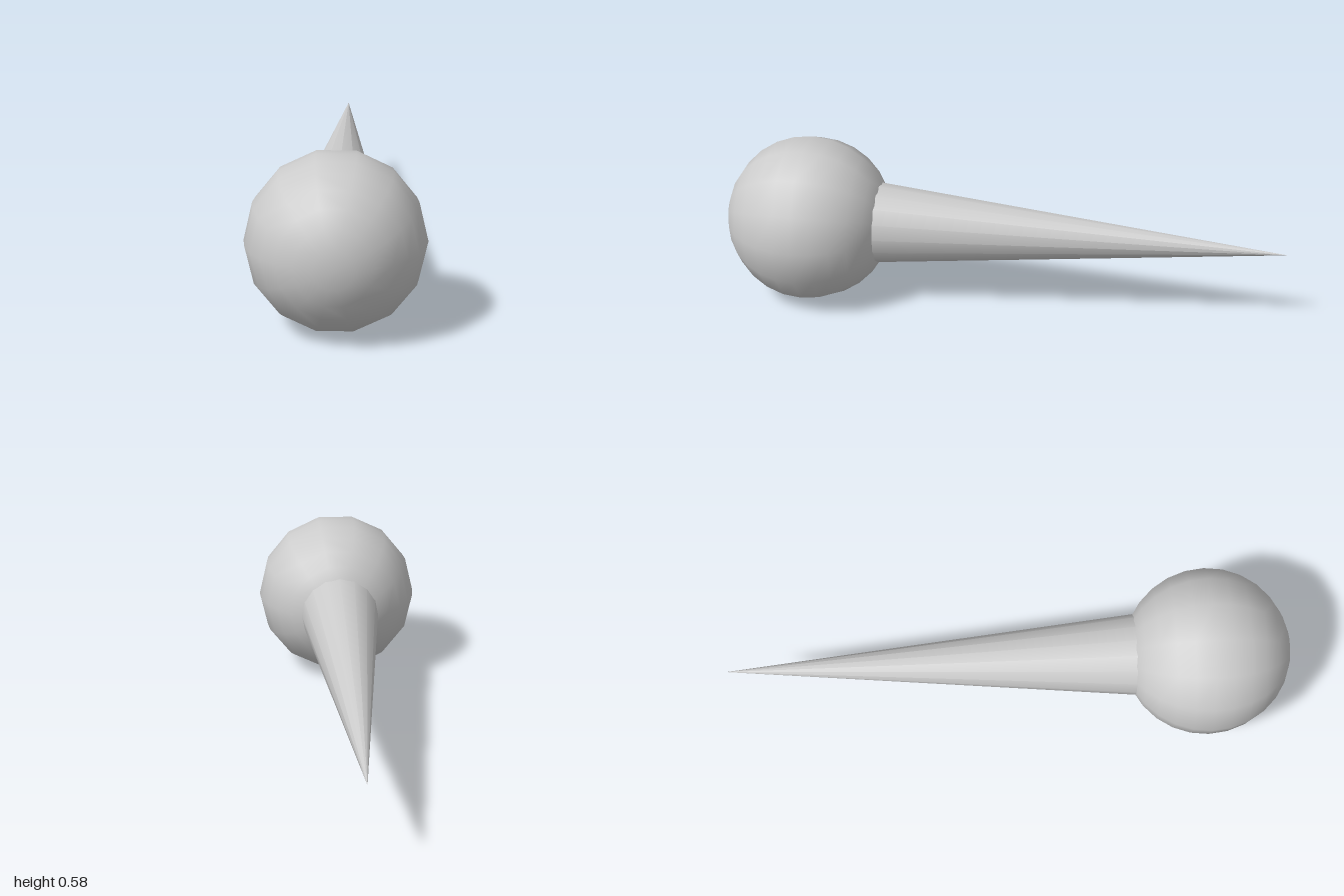
import * as THREE from 'three';

export function createModel() {
  const group = new THREE.Group();
  const material = new THREE.MeshStandardMaterial({ color: 0xcccccc });
  const radius = 0.296, centerY = 0.289, centerZ = 1 - radius;

  // Round head, poles along z
  const headGeometry = new THREE.SphereGeometry(radius, 14, 14);
  headGeometry.rotateX(Math.PI / 2);
  const head = new THREE.Mesh(headGeometry, material);
  head.name = 'head';
  head.position.set(0, centerY, centerZ);
  group.add(head);

  // Long spike: starts inside the head and tapers to a point at the back
  const length = centerZ + 1;
  const spikeGeometry = new THREE.ConeGeometry(0.099 * length, length, 16, 1);
  spikeGeometry.rotateX(-Math.PI / 2);
  const spike = new THREE.Mesh(spikeGeometry, material);
  spike.name = 'spike';
  spike.position.set(0, centerY, centerZ - length / 2);
  group.add(spike);

  return group;
}
